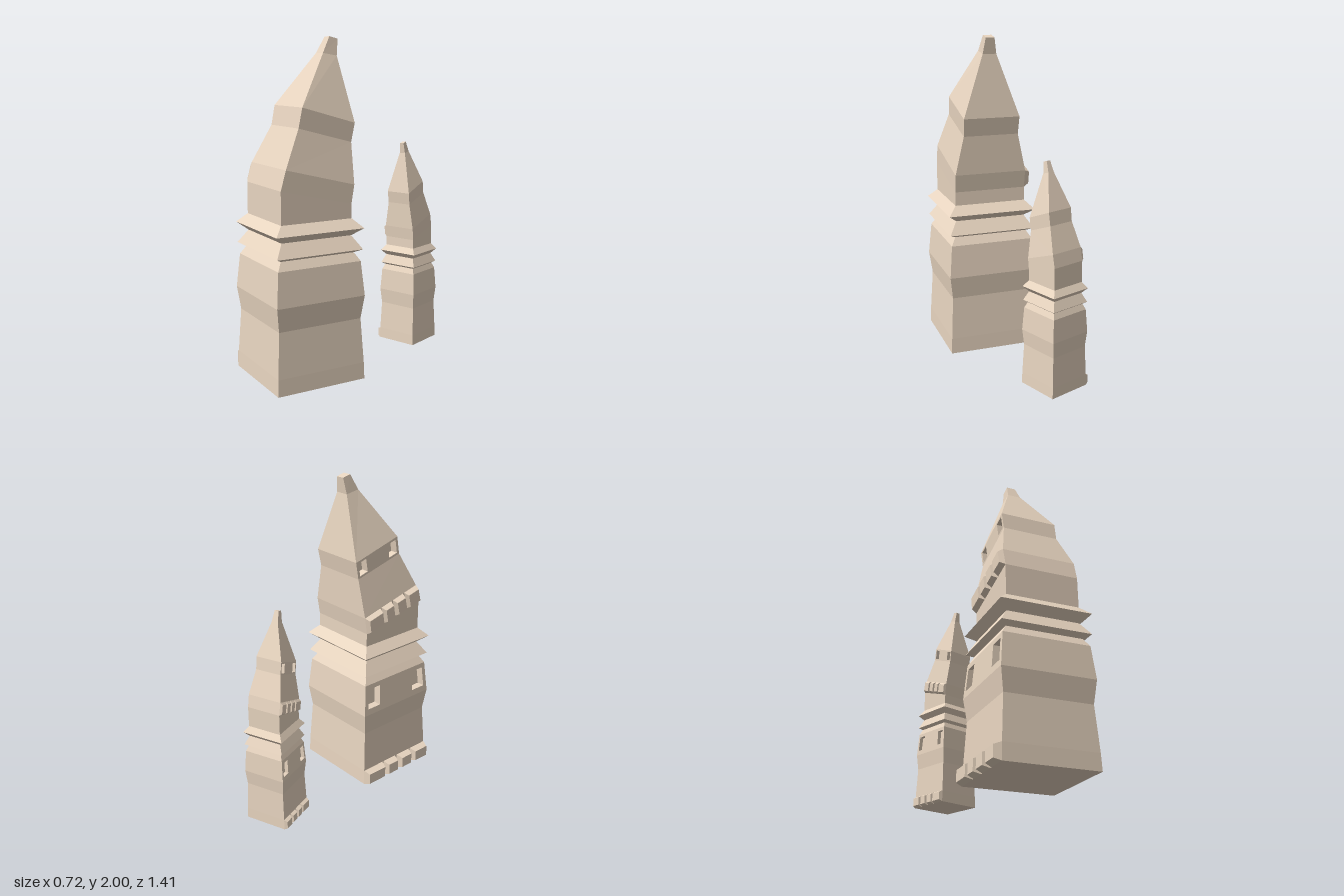
import * as THREE from 'three';

// Tower cross-sections, bottom to top: half width, front z, back z, front y, back y
const even = (h, y) => [h, h, -h, y, y];
const RINGS = [
  even(0.283, 0), even(0.28, 0.1), even(0.265, 0.37), even(0.283, 0.51), even(0.265, 0.715),
  // two sharp ledges
  even(0.235, 0.765), even(0.275, 0.785), even(0.224, 0.865), even(0.28, 0.91), even(0.226, 0.965),
  // leaning upper storeys and spire
  [0.226, 0.225, -0.225, 1.155, 1.05],
  [0.227, 0.193, -0.243, 1.27, 1.16],
  [0.174, 0.086, -0.253, 1.49, 1.4],
  [0.177, 0.063, -0.275, 1.605, 1.51],
  [0.043, -0.1425, -0.233, 1.905, 1.89],
  [0.0275, -0.193, -0.248, 2, 1.987],
];
const TOOTH_BANDS = { 0: 0.042, 10: 0.032 };            // ring index: how far the teeth stand out
const TEETH = [[0, 0.295], [0.315, 0.505], [0.535, 0.735], [0.76, 1]];
const WINDOW_BANDS = { 3: [0.2, 0.85], 12: [0.12, 0.88] }; // ring index: sill and head
const WINDOWS = [[0.05, 0.23], [0.76, 0.95]];
const WINDOW_DEPTH = 0.05;

const material = new THREE.MeshStandardMaterial({ color: 0xe8d5c0, flatShading: true });

// Collects quads, scaled to the tower's size; a mirrored tower gets its corners reversed
function quadMesh(name, [sx, sy, sz]) {
  const pos = [];
  const put = (p) => pos.push(p.x * sx, p.y * sy, p.z * sz);
  return {
    quad(a, b, c, d) {
      const order = [a, b, c, a, c, d];
      (sz < 0 ? order.reverse() : order).forEach(put);
    },
    finish() {
      const geo = new THREE.BufferGeometry();
      geo.setAttribute('position', new THREE.Float32BufferAttribute(pos, 3));
      geo.computeVertexNormals();
      const mesh = new THREE.Mesh(geo, material);
      mesh.name = name;
      return mesh;
    },
  };
}

// Point on the wall patch between two rings' side edges
const patch = (a, b, c, d) => (u, v) =>
  a.clone().lerp(b, u).lerp(d.clone().lerp(c, u), v);

// Block pushed along x out of (or into) a wall patch, its end inset
function relief(out, P, [u0, u1], [v0, v1], depth, iu = 0, iv = 0) {
  const base = [P(u0, v0), P(u1, v0), P(u1, v1), P(u0, v1)];
  const end = [P(u0 + iu, v0 + iv), P(u1 - iu, v0 + iv), P(u1 - iu, v1 - iv), P(u0 + iu, v1 - iv)];
  end.forEach((p) => { p.x += depth; });
  for (let i = 0; i < 4; i++) {
    const j = (i + 1) % 4;
    out.quad(base[i], base[j], end[j], end[i]);
  }
  out.quad(...end);
}

function buildTower(name, scale, tipShift) {
  const walls = quadMesh('walls', scale);
  const teeth = quadMesh('teeth', scale);
  const windows = quadMesh('windowRecesses', scale);

  const rings = RINGS.map(([h, zf, zb, yf, yb], i) => {
    const s = i >= 14 ? tipShift : 0;
    return [
      new THREE.Vector3(-h, yb, zb + s), new THREE.Vector3(-h, yf, zf + s),
      new THREE.Vector3(h, yf, zf + s), new THREE.Vector3(h, yb, zb + s),
    ];
  });

  for (let r = 0; r < rings.length - 1; r++) {
    const lo = rings[r], hi = rings[r + 1];
    for (let i = 0; i < 4; i++) {
      const j = (i + 1) % 4;
      const P = patch(lo[i], lo[j], hi[j], hi[i]);
      const head = i === 0 && WINDOW_BANDS[r];
      if (!head) {
        walls.quad(lo[i], lo[j], hi[j], hi[i]);
      } else {
        // wall cut into a grid, leaving the window cells open
        const us = [0, ...WINDOWS.flat(), 1], vs = [0, ...head, 1];
        for (let m = 0; m < us.length - 1; m++) {
          for (let n = 0; n < vs.length - 1; n++) {
            if (n === 1 && m % 2 === 1) continue;
            walls.quad(P(us[m], vs[n]), P(us[m + 1], vs[n]), P(us[m + 1], vs[n + 1]), P(us[m], vs[n + 1]));
          }
        }
        WINDOWS.forEach((w) => relief(windows, P, w, head, WINDOW_DEPTH));
      }
      if (i === 0 && TOOTH_BANDS[r]) {
        TEETH.forEach((t) => relief(teeth, P, t, [0, 1], -TOOTH_BANDS[r], 0.024, 0.15));
      }
    }
  }

  // floor and tip
  const [bl, fl, fr, br] = rings[0];
  walls.quad(bl, br, fr, fl);
  const [tbl, tfl, tfr, tbr] = rings[rings.length - 1];
  walls.quad(tfl, tfr, tbr, tbl);

  const tower = new THREE.Group();
  tower.name = name;
  tower.add(walls.finish(), teeth.finish(), windows.finish());
  return tower;
}

export function createModel() {
  const model = new THREE.Group();
  model.name = 'twinTowers';

  const large = buildTower('largeTower', [1, 1, 1], 0);
  large.position.set(0.015, 0, 0.357);
  large.rotation.y = -0.249;

  // smaller, slimmer tower leaning the opposite way
  const small = buildTower('smallTower', [0.47, 0.665, -0.47], 0.045);
  small.position.set(0.078, 0.02, -0.562);
  small.rotation.y = 0.112;

  model.add(large, small);
  return model;
}
